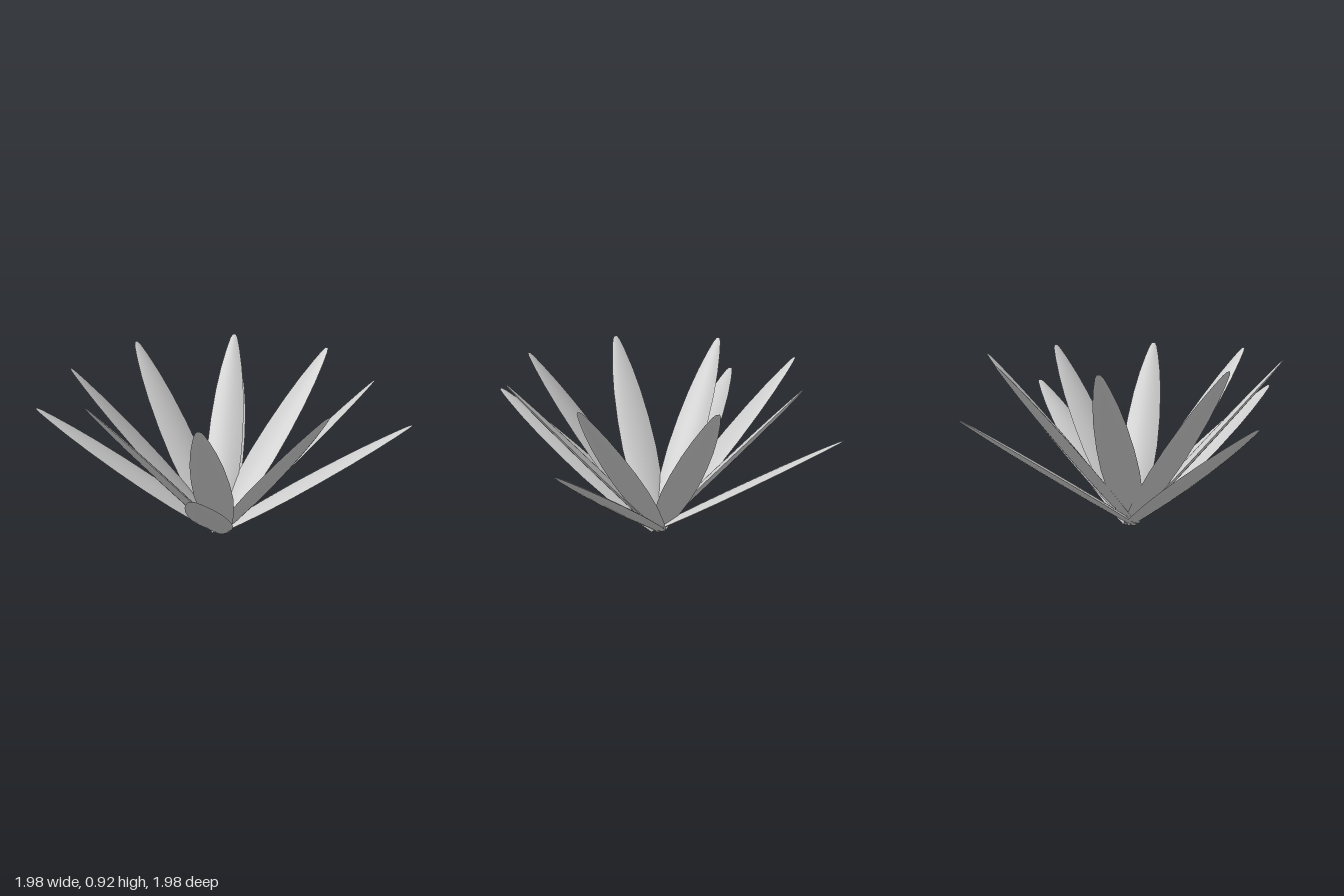
import * as THREE from 'three';

const LENGTH = 1.2;
// Leaf stations: fraction along the leaf, half width, half thickness
const STATIONS = [
  [0, 0, 0], [0.004, 0.045, 0.014], [0.1, 0.07, 0.016], [0.25, 0.092, 0.018],
  [0.4, 0.1, 0.018], [0.55, 0.095, 0.017], [0.7, 0.081, 0.015],
  [0.82, 0.062, 0.012], [0.92, 0.039, 0.008], [0.98, 0.021, 0.004], [1, 0.009, 0],
];
const ACROSS = 8;

// Lens-shaped leaf blade along +z: two bowed skins meeting at a sharp rim
function leafGeometry() {
  const pos = [], index = [];
  for (const side of [1, -1]) {
    const base = pos.length / 3;
    for (const [s, w, t] of STATIONS) {
      for (let i = 0; i <= ACROSS; i++) {
        const u = (i / ACROSS) * 2 - 1;
        pos.push(u * w, side * t * (1 - u * u), s * LENGTH);
      }
    }
    for (let j = 0; j < STATIONS.length - 1; j++) {
      for (let i = 0; i < ACROSS; i++) {
        const a = base + j * (ACROSS + 1) + i, b = a + 1;
        const c = a + ACROSS + 1, d = c + 1;
        if (side > 0) index.push(a, c, b, b, c, d);
        else index.push(a, b, c, b, d, c);
      }
    }
  }
  const geo = new THREE.BufferGeometry();
  geo.setAttribute('position', new THREE.Float32BufferAttribute(pos, 3));
  geo.setIndex(index);
  geo.computeVertexNormals();
  return geo;
}

export function createModel() {
  const plant = new THREE.Group();
  plant.name = 'rosettePlant';
  const geo = leafGeometry();
  const mat = new THREE.MeshStandardMaterial({ color: 0xcccccc, side: THREE.DoubleSide });

  // One leaf, raised by its elevation and turned about the centre
  function addLeaf(name, azimuth, elevation, shift) {
    const leaf = new THREE.Mesh(geo, mat);
    leaf.name = name;
    leaf.rotation.x = -elevation;
    leaf.position.set(shift, 0.02, 0);
    const pivot = new THREE.Group();
    pivot.name = name + 'Pivot';
    pivot.rotation.y = azimuth;
    pivot.add(leaf);
    plant.add(pivot);
  }

  // Eight steep inner leaves and four spreading outer leaves, slightly off centre
  const shifts = [0.012, 0.012, 0.012, 0.02, 0.01, 0, -0.01, 0];
  shifts.forEach((shift, i) => {
    const azimuth = (i * Math.PI) / 4;
    addLeaf('innerLeaf' + (i + 1), azimuth, 0.858, shift);
    if (i % 2 === 0) addLeaf('outerLeaf' + (i / 2 + 1), azimuth, 0.598, shift);
  });
  return plant;
}
